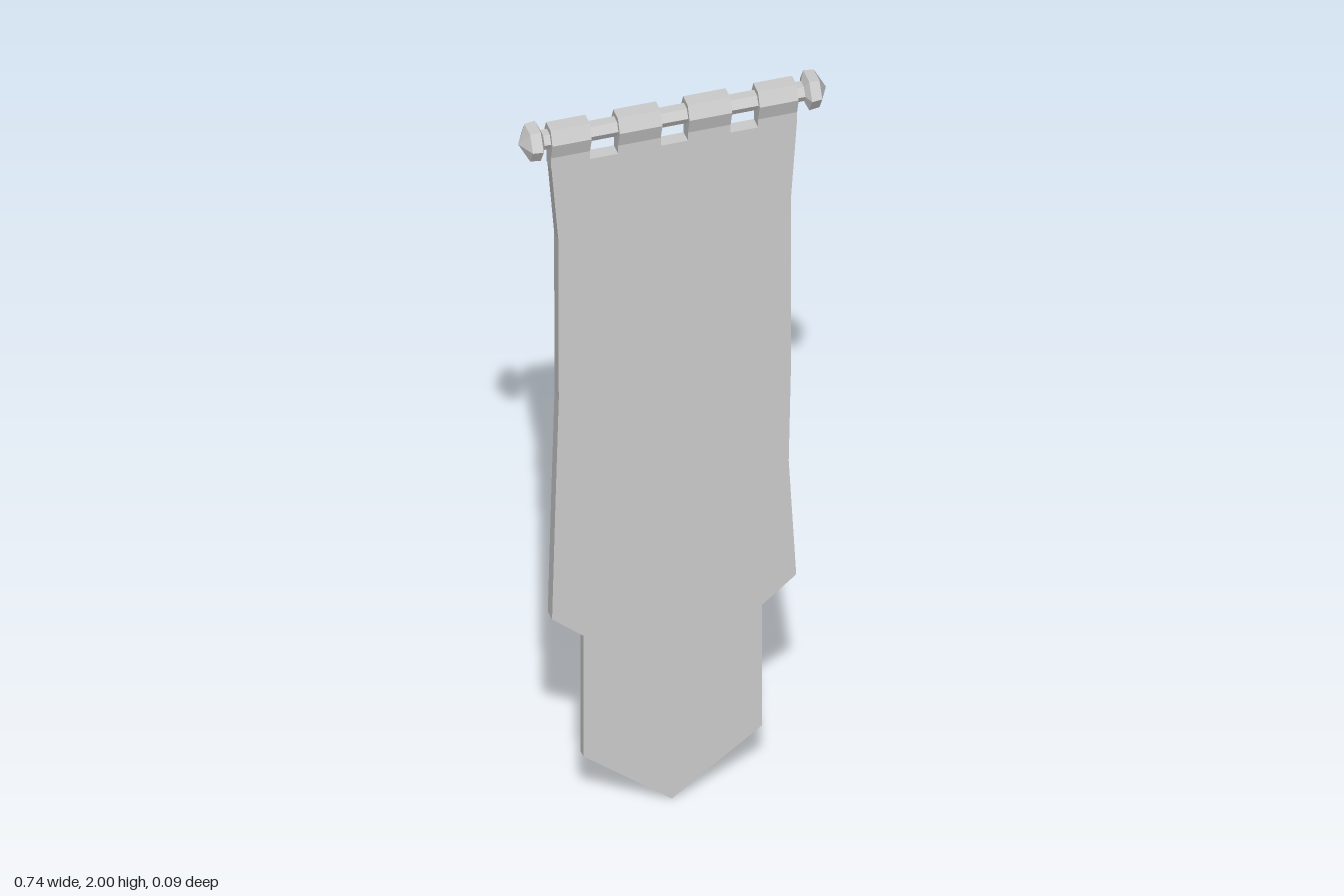
import * as THREE from 'three';

const material = new THREE.MeshStandardMaterial({ color: 0xcccccc, flatShading: true });
const ROD_Y = 1.962;

function add(group, name, geometry) {
  const mesh = new THREE.Mesh(geometry, material);
  mesh.name = name;
  group.add(mesh);
  return mesh;
}

// Flat outline extruded between two depths
function slab(points, from, to) {
  const shape = new THREE.Shape(points.map(([x, y]) => new THREE.Vector2(x, y)));
  return new THREE.ExtrudeGeometry(shape, { depth: to - from, bevelEnabled: false }).translate(0, 0, from);
}

export function createModel() {
  const group = new THREE.Group();
  group.name = 'hangingBanner';

  // Six-sided rod with a corner towards the front
  add(group, 'rod', new THREE.CylinderGeometry(0.0235, 0.0235, 0.63, 6).rotateZ(-Math.PI / 2))
    .position.y = ROD_Y;

  // Pointed finials on both rod ends
  const profile = [[0, 0.312], [0.024, 0.312], [0.047, 0.321], [0.044, 0.346], [0, 0.368]]
    .map(([r, y]) => new THREE.Vector2(r, y));
  for (const side of [1, -1]) {
    add(group, side > 0 ? 'leftFinial' : 'rightFinial',
      new THREE.LatheGeometry(profile, 6).rotateZ(-side * Math.PI / 2)).position.y = ROD_Y;
  }

  // Cloth loops over the rod: cross-section as [-z, y], extruded along x
  const section = [[-0.018, 1.997], [-0.033, 1.963], [-0.02, 1.92], [-0.02, 1.89],
    [0.013, 1.89], [0.013, 1.92], [0.033, 1.963], [0.018, 1.997]];
  for (const [x0, x1] of [[-0.296, -0.202], [-0.135, -0.033], [0.032, 0.134], [0.2, 0.293]]) {
    add(group, 'loop', slab(section, x0, x1).rotateY(Math.PI / 2));
  }

  // Main cloth with slightly waisted sides and a pointed hem
  add(group, 'mainCloth', slab([
    [-0.295, 1.897], [-0.278, 1.68], [-0.277, 1.22], [-0.285, 0.92], [-0.293, 0.59],
    [0, 0.34],
    [0.291, 0.588], [0.273, 0.92], [0.279, 1.22], [0.278, 1.67], [0.293, 1.897],
  ], -0.013, 0.02));

  // Narrower tail behind the hem
  add(group, 'tailCloth', slab([
    [-0.215, 0.8], [-0.215, 0.17], [-0.003, 0], [0.213, 0.163], [0.213, 0.8],
  ], -0.0125, 0.009));

  return group;
}
